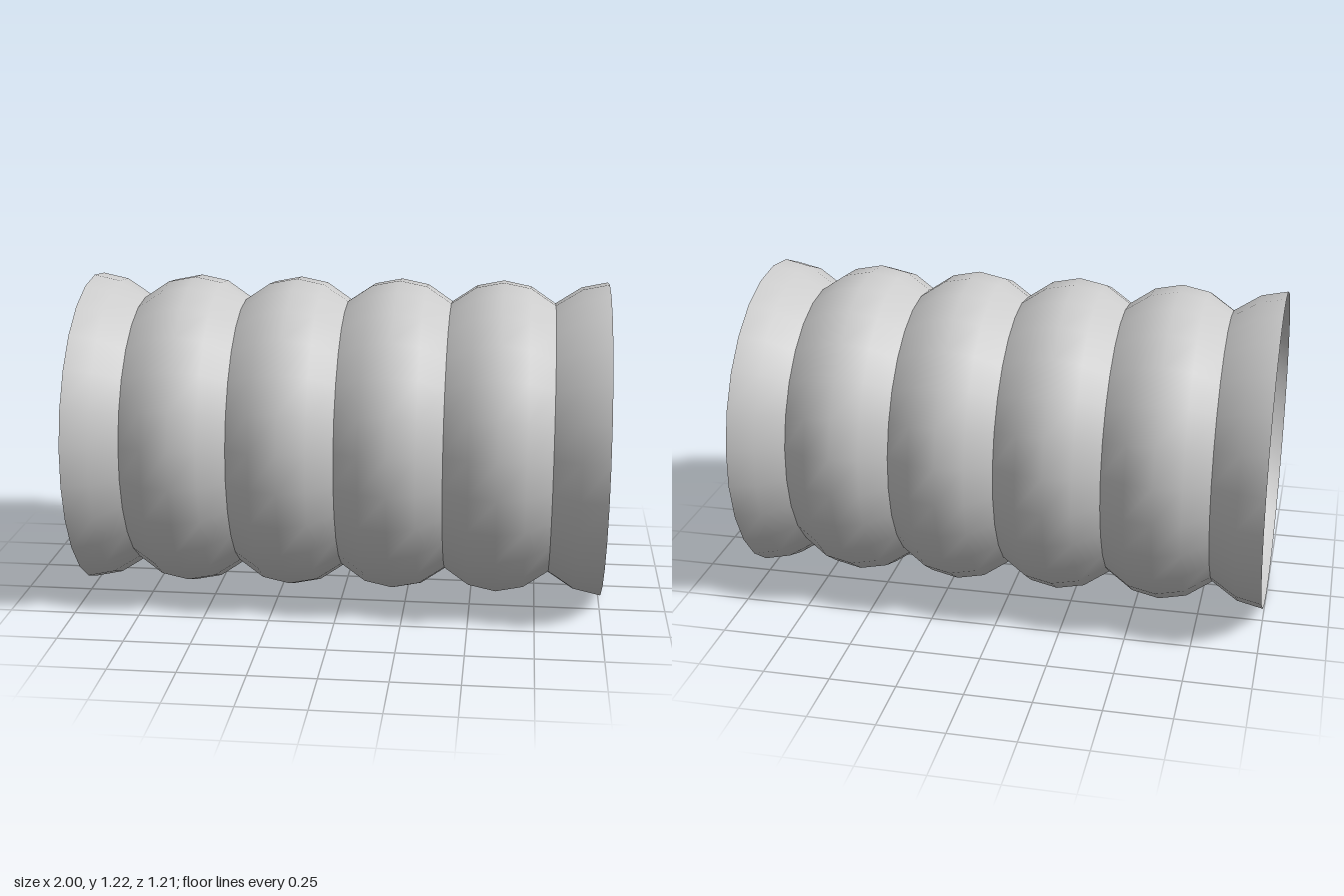
import * as THREE from 'three';

const SIDES = 26;
const PEAK = 0.61, SHOULDER = 0.589, VALLEY = 0.525;

export function createModel() {
  const group = new THREE.Group();
  group.name = 'corrugatedPipe';
  const material = new THREE.MeshStandardMaterial({ color: 0xcccccc, side: THREE.DoubleSide });

  // One ring of the pipe: a profile of [radius, x] pairs turned about the x axis.
  // Rings are separate, so the valleys between them stay sharp.
  function addRing(name, profile) {
    const points = profile.map(([r, x]) => new THREE.Vector2(r, x));
    const geometry = new THREE.LatheGeometry(points, SIDES, Math.PI / 2);
    geometry.rotateZ(-Math.PI / 2);
    geometry.translate(0, PEAK, 0);
    const mesh = new THREE.Mesh(geometry, material);
    mesh.name = name;
    group.add(mesh);
  }

  // Four full bulges
  for (let i = 0; i < 4; i++) {
    const x = -0.6 + i * 0.4;
    addRing('bulge' + (i + 1), [
      [VALLEY, x - 0.2], [SHOULDER, x - 0.105], [PEAK, x], [SHOULDER, x + 0.105], [VALLEY, x + 0.2],
    ]);
  }

  // Half bulges flaring to the open ends
  addRing('rightFlare', [[PEAK, -1], [SHOULDER, -0.9], [VALLEY, -0.8]]);
  addRing('leftFlare', [[VALLEY, 0.8], [SHOULDER, 0.9], [PEAK, 1]]);

  return group;
}
